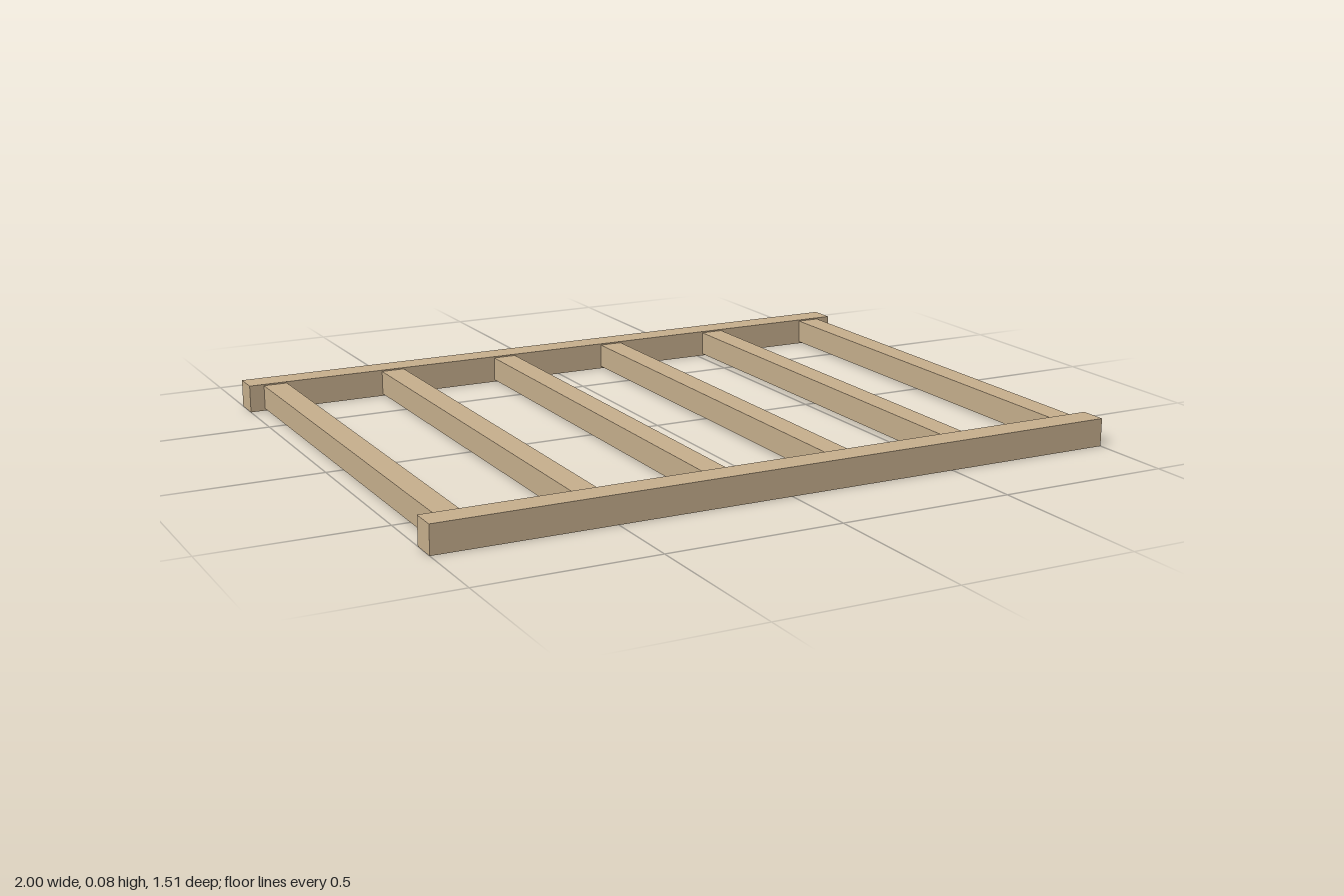
import * as THREE from 'three';

export function createModel() {
  const group = new THREE.Group();
  group.name = 'slattedFrame';
  const wood = new THREE.MeshStandardMaterial({ color: 0xc8b08e });
  wood.name = 'paleWood';

  const addBeam = (name, size, position) => {
    const beam = new THREE.Mesh(new THREE.BoxGeometry(...size), wood);
    beam.name = name;
    beam.position.set(...position);
    group.add(beam);
  };

  const halfDepth = 0.757, rail = 0.078, railHeight = 0.08;
  const slat = 0.07, slatCount = 6, slatSpacing = 0.3686;

  // Long rails along the front and back
  for (const side of [1, -1]) {
    addBeam(side > 0 ? 'frontRail' : 'backRail', [2, railHeight, rail],
      [0, railHeight / 2, side * (halfDepth - rail / 2)]);
  }

  // Slightly thinner slats, evenly spaced between the rails
  for (let i = 0; i < slatCount; i++) {
    addBeam(`slat${i + 1}`, [slat, slat, 2 * (halfDepth - rail)],
      [(i - (slatCount - 1) / 2) * slatSpacing, railHeight / 2 + 0.001, 0]);
  }
  return group;
}
